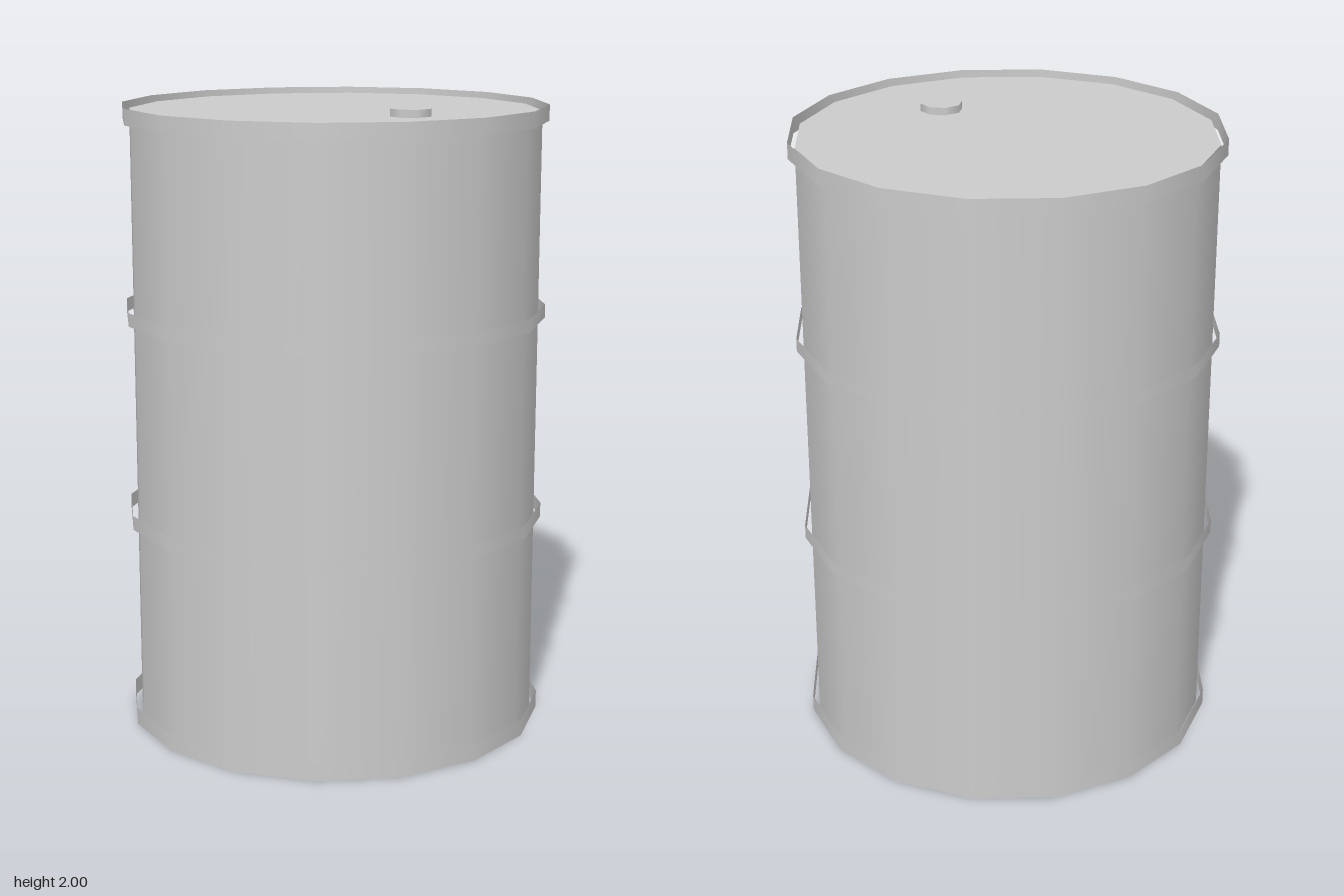
import * as THREE from 'three';

export function createModel() {
  const group = new THREE.Group();
  const solid = new THREE.MeshStandardMaterial({ color: 0xcccccc });
  const thin = new THREE.MeshStandardMaterial({ color: 0xcccccc, side: THREE.DoubleSide });

  // Upright cylinder spanning bottom..top
  function cylinder(name, radius, bottom, top, sides, open, x = 0, z = 0) {
    const geometry = new THREE.CylinderGeometry(radius, radius, top - bottom, sides, 1, open);
    const mesh = new THREE.Mesh(geometry, open ? thin : solid);
    mesh.name = name;
    mesh.position.set(x, (bottom + top) / 2, z);
    group.add(mesh);
  }

  // Drum shell with flat lid and base
  cylinder('barrelBody', 0.652, 0.005, 1.976, 16, false);

  // Thin open hoops standing slightly off the shell
  const hoops = [
    ['bottomRim', 0, 0.055],
    ['lowerHoop', 0.66, 0.706],
    ['upperHoop', 1.32, 1.363],
    ['topRim', 1.944, 1.995],
  ];
  for (const [name, bottom, top] of hoops) cylinder(name, 0.674, bottom, top, 16, true);

  // Filler cap on the lid
  cylinder('fillerCap', 0.067, 1.97, 2, 8, false, 0.316, 0.111);

  return group;
}
